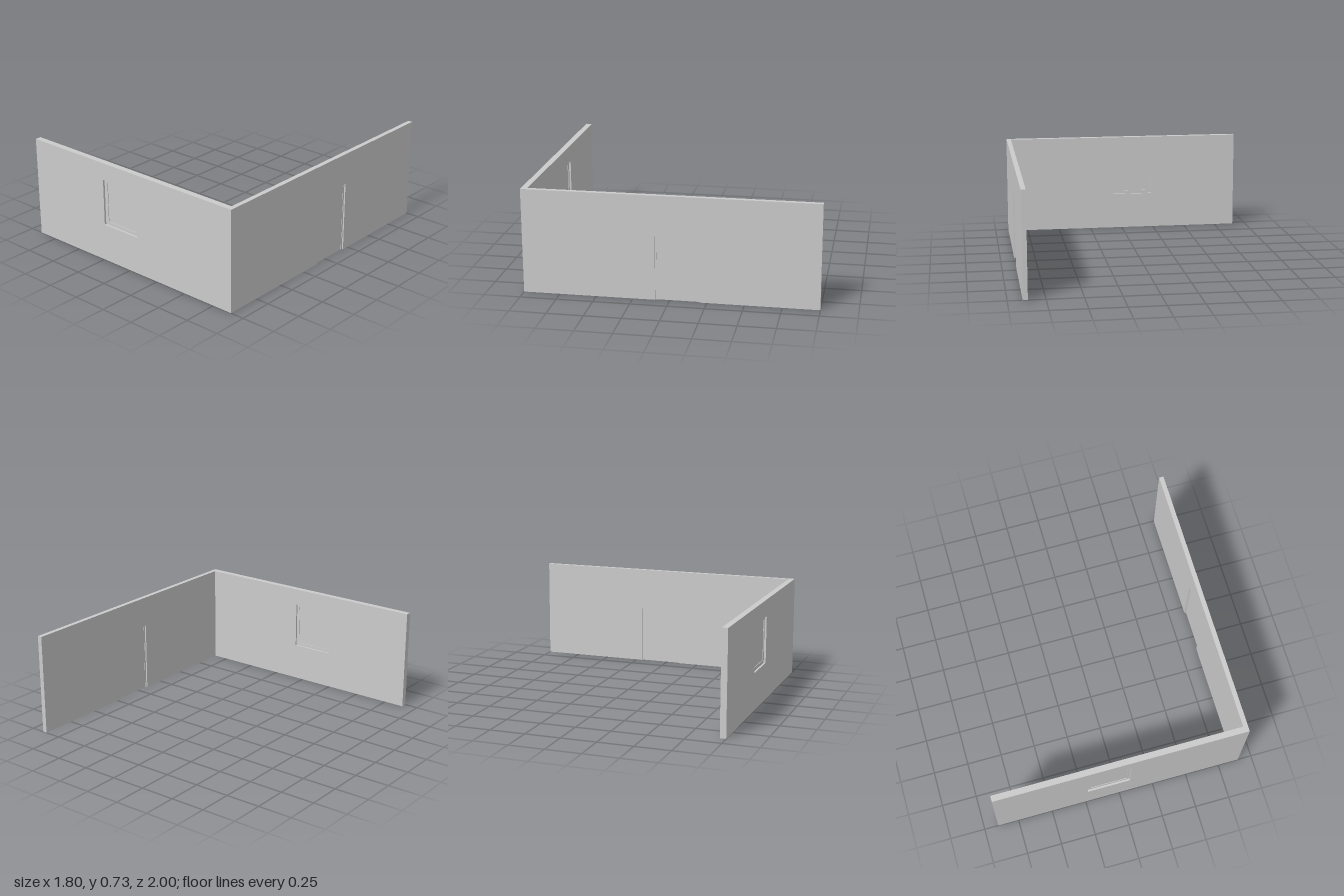
import * as THREE from 'three';

const HEIGHT = 0.725;
const material = new THREE.MeshStandardMaterial({ color: 0xcccccc, flatShading: true });

// Closed outline from corner pairs
const outline = (points, Type = THREE.Shape) =>
  new Type(points.map(([x, y]) => new THREE.Vector2(x, y)));

const rect = (x0, x1, y0, y1) => [[x0, y0], [x1, y0], [x1, y1], [x0, y1]];

// Flat slab: outline with optional hole, filling depth z0..z1
function slab(name, points, z0, z1, hole) {
  const shape = outline(points);
  if (hole) shape.holes.push(outline(hole, THREE.Path));
  const geometry = new THREE.ExtrudeGeometry(shape, { depth: z1 - z0, bevelEnabled: false });
  geometry.translate(0, 0, z0);
  const mesh = new THREE.Mesh(geometry, material);
  mesh.name = name;
  return mesh;
}

export function createModel() {
  const model = new THREE.Group();
  model.name = 'cornerWalls';

  // Front wall with a window set back from both faces
  const front = new THREE.Group();
  front.name = 'frontWallWithWindow';
  const opening = rect(-0.235, 0.072, 0.27, 0.603);
  const paneEdge = rect(-0.208, 0.052, 0.295, 0.583);
  front.add(
    slab('frontWall', rect(-0.9, 0.9, 0, HEIGHT), 0.957, 1, opening),
    slab('windowFrame', opening, 0.97, 0.986, paneEdge),
    slab('windowPane', paneEdge, 0.974, 0.982)
  );

  // Side wall drawn along -z, then turned to face +x
  const side = new THREE.Group();
  side.name = 'sideWallWithDoor';
  const [d0, d1, top, rim] = [-0.098, 0.202, 0.502, 0.012];
  const wall = [
    [-0.957, 0], [d0, 0], [d0, top], [d1, top], [d1, 0],
    [1, 0], [1, HEIGHT], [-0.957, HEIGHT]
  ];
  const doorFrame = [
    [d0, 0], [d0 + rim, 0], [d0 + rim, top - rim], [d1 - rim, top - rim],
    [d1 - rim, 0], [d1, 0], [d1, top], [d0, top]
  ];
  side.add(
    slab('sideWall', wall, 0.867, 0.9),
    slab('doorFrame', doorFrame, 0.877, 0.89),
    slab('door', rect(d0 + rim, d1 - rim, 0, top - rim), 0.879, 0.888)
  );
  side.rotation.y = Math.PI / 2;

  model.add(front, side);
  return model;
}
